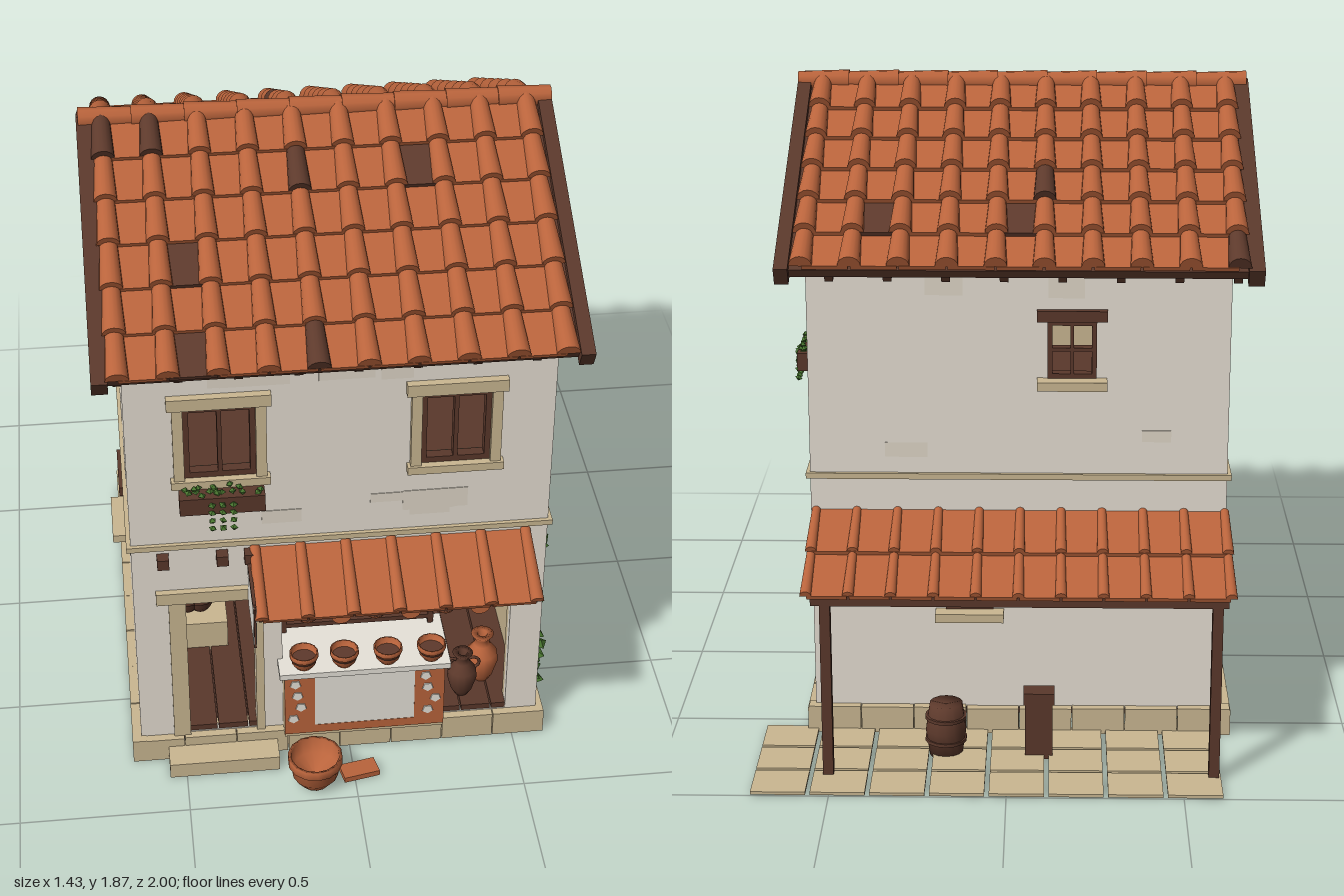
import * as THREE from 'three';

const flat = (name, color, side = THREE.FrontSide) => {
  const m = new THREE.MeshStandardMaterial({ color, side });
  m.name = name;
  return m;
};

export function createModel() {
  const house = new THREE.Group();
  house.name = 'potteryHouse';
  const plaster = flat('plaster', 0xe6dfd3), patch = flat('agedPlaster', 0xe0d7c8);
  const stone = flat('stone', 0xcbb892), wood = flat('darkWood', 0x5a382b);
  const clay = flat('terracotta', 0xba643c, THREE.DoubleSide);
  const burnt = flat('burntClay', 0x5e3a2c, THREE.DoubleSide);
  const soil = flat('underside', 0x4c3128), leaf = flat('leaf', 0x48752f);
  const white = flat('whitewash', 0xe8e4da);

  let seed = 7;
  const rnd = (a = 0, b = 1) => {
    seed = (seed * 16807) % 2147483647;
    return a + (b - a) * seed / 2147483647;
  };
  const add = (parent, name, geo, mat, x = 0, y = 0, z = 0) => {
    const m = new THREE.Mesh(geo, mat);
    m.name = name;
    m.position.set(x, y, z);
    parent.add(m);
    return m;
  };
  // Box given by its limits on each axis
  const box = (p, name, mat, x0, x1, y0, y1, z0, z1) => add(p, name,
    new THREE.BoxGeometry(x1 - x0, y1 - y0, z1 - z0), mat, (x0 + x1) / 2, (y0 + y1) / 2, (z0 + z1) / 2);
  const group = (name, x = 0, y = 0, z = 0, ry = 0) => {
    const g = new THREE.Group();
    g.name = name;
    g.position.set(x, y, z);
    g.rotation.y = ry;
    house.add(g);
    return g;
  };

  // Body limits
  const L = -0.63, R = 0.575, F = 0.755, B = -0.56;

  // Walls: outer plaster skin and a slightly smaller stone-coloured lining share the openings
  const wall = (name, outline, holes, x, z, ry, inward) => {
    const g = group(name, x, 0, z, ry);
    const mid = (outline[0][0] + outline[1][0]) / 2;
    for (const [part, mat, off, inset] of [['wallSkin', plaster, 0, 0], ['wallLining', stone, 0.025 * inward, 0.03]]) {
      const s = new THREE.Shape(outline.map(([a, b]) => new THREE.Vector2(a + Math.sign(mid - a) * inset, b - inset / 3)));
      holes.forEach(([a, b, c, d]) => s.holes.push(new THREE.Path([[a, c], [a, d], [b, d], [b, c]].map(p => new THREE.Vector2(...p)))));
      add(g, part, new THREE.ExtrudeGeometry(s, { depth: 0.025, bevelEnabled: false }), mat, 0, 0, off - (inward < 0 ? 0.025 : 0));
    }
  };
  const rect = [[L, 0.075], [R, 0.075], [R, 1.46], [L, 1.46]];
  const gable = [[-F, 0.075], [-B, 0.075], [-B, 1.465], [-0.1, 1.8], [-F, 1.465]];
  wall('frontWall', rect, [[-0.48, -0.28, 0.085, 0.6], [-0.2, 0.48, 0.085, 0.62],
    [-0.47, -0.265, 1.045, 1.285], [0.195, 0.395, 1.045, 1.285]], 0, F, 0, -1);
  wall('backWall', rect, [[0.045, 0.185, 0.39, 0.56], [-0.25, -0.11, 1.1, 1.27]], 0, B, 0, 1);
  wall('rightHandWall', gable, [[-0.335, -0.145, 0.365, 0.585], [-0.035, 0.13, 1.075, 1.285]], R, 0, Math.PI / 2, -1);
  wall('leftHandWall', gable, [[-0.18, -0.04, 0.42, 0.575], [-0.3, -0.16, 1.1, 1.27]], L, 0, Math.PI / 2, 1);

  // Floors and recessed underside
  box(house, 'underside', soil, L, R, 0.055, 0.074, B, F);
  for (let i = 0; i < 12; i++) box(house, 'floorPlank', wood, L + 0.05 + i * 0.0925, L + 0.138 + i * 0.0925, 0.075, 0.104, B + 0.05, F - 0.002);
  box(house, 'upperFloor', wood, L + 0.05, R - 0.05, 0.78, 0.82, B + 0.05, F - 0.05);

  // Foundation blocks
  for (let i = 0; i < 8; i++) {
    const x = -0.655 + i * 0.1565, z = -0.585 + i * 0.171;
    for (const [a, b] of [[F - 0.015, F + 0.025], [B - 0.025, B + 0.015]])
      box(house, 'baseStone', stone, x, x + 0.154, 0, 0.08 + rnd(-0.002, 0.003), a, b);
    for (const [a, b] of [[L - 0.027, L + 0.015], [R - 0.015, R + 0.022]])
      box(house, 'baseStone', stone, a, b, 0, 0.08 + rnd(-0.002, 0.003), z, z + 0.168);
  }
  // String courses
  box(house, 'stringCourse', stone, L - 0.012, R + 0.012, 0.795, 0.812, F, F + 0.012);
  box(house, 'stringCourse', stone, L - 0.012, R + 0.012, 0.795, 0.812, B - 0.012, B);
  for (const [a, b] of [[L - 0.012, L], [R, R + 0.012]]) {
    box(house, 'stringCourse', stone, a, b, 0.795, 0.812, B, F);
    box(house, 'gableCourse', stone, a, b, 1.46, 1.482, B, F);
  }
  // Aged plaster patches
  const bands = [[0.66, 0.79], [0.83, 0.95], [0.86, 0.98], [1.335, 1.41]];
  for (let i = 0; i < 26; i++) {
    const [a, b] = bands[i % 4], w = rnd(0.08, 0.2), h = rnd(0.03, 0.07), y = rnd(a, b - h), x = rnd(L + 0.02, R - w), z = rnd(B + 0.02, F - w);
    if (i % 2) box(house, 'plasterPatch', patch, x, x + w, y, y + h, i % 3 ? F - 0.001 : B - 0.002, i % 3 ? F + 0.002 : B + 0.001);
    else box(house, 'plasterPatch', patch, i % 3 ? R - 0.001 : L - 0.002, i % 3 ? R + 0.002 : L + 0.001, y, y + h, z, z + w);
  }

  // Tiled slope running down local +z
  const tiledSlope = (name, y, z, ry, pitch, x0, x1, cols, rows, len, r, dark = []) => {
    const g = group(name, 0, y, z, ry);
    g.rotation.order = 'YXZ';
    g.rotation.x = pitch;
    const step = (x1 - x0) / cols, rl = len / rows;
    const pan = new THREE.BoxGeometry(step - 0.006, 0.012, rl * 1.08);
    // Half round, wider at the lower end, arched upward
    const cover = new THREE.CylinderGeometry(r * 1.1, r * 0.85, rl * 1.06, 8, 1, false, Math.PI / 2, Math.PI).rotateX(Math.PI / 2);
    const tilt = -0.012 / rl;
    for (let i = 0; i <= cols; i++) for (let j = 0; j < rows; j++) {
      const zz = (j + 0.5) * rl, k = i * 10 + j;
      if (i < cols) add(g, 'panTile', pan, dark.includes(k + 1000) ? burnt : clay, x0 + (i + 0.5) * step, 0.012, zz).rotation.x = tilt;
      add(g, 'coverTile', cover, dark.includes(k) ? burnt : clay, x0 + i * step, 0.016, zz).rotation.x = tilt;
    }
    return g;
  };
  const pitch = 0.47, RY = 1.83;
  const slopes = [
    tiledSlope('frontRoof', RY, 0.1, 0, pitch, -0.64, 0.575, 9, 6, 0.85, 0.03, [0, 10, 41, 45, 1013, 1061, 1015]),
    tiledSlope('backRoof', RY, 0.1, Math.PI, pitch, -0.575, 0.64, 9, 6, 0.865, 0.03, [95, 53, 1044, 1014])];
  slopes.forEach((g, i) => {
    const s = i ? -1 : 1, len = i ? 0.88 : 0.86;
    box(g, 'roofDeck', wood, i ? -0.61 : -0.665, i ? 0.665 : 0.61, -0.025, 0, 0, len - 0.02);
    for (const [a, b] of [[-0.71, -0.665], [0.61, 0.65]]) {
      const lo = Math.min(a * s, b * s), hi = Math.max(a * s, b * s);
      box(g, 'bargeBoard', wood, lo, hi, -0.035, 0.02, 0, len);
    }
    for (let k = 0; k < 8; k++) box(g, 'rafterTail', wood, s * (-0.64 + k * 0.163) - 0.012, s * (-0.64 + k * 0.163) + 0.012, -0.05, -0.02, 0.6, len - 0.03);
  });
  for (let k = 0; k < 9; k++) add(house, 'ridgeTile',
    new THREE.CylinderGeometry(0.034, 0.029, 0.155, 10).rotateZ(Math.PI / 2), clay, -0.627 + k * 0.15, 1.838, 0.1);

  // Windows, each built facing +z around its opening
  const bar = (g, x, y, w, h) => box(g, 'windowBar', wood, x - w / 2, x + w / 2, y - h / 2, y + h / 2, -0.025, 0.006);
  const casement = (g, w, h, t) => {
    for (const s of [-1, 1]) {
      bar(g, s * (w - t) / 2, 0, t, h);
      bar(g, 0, s * (h - t) / 2, w, t);
    }
    bar(g, 0, 0, t * 0.7, h);
  };
  const bigWindow = (name, x, y, z, ry, w, h) => {
    const g = group(name, x, y, z, ry);
    casement(g, w, h, 0.018);
    for (const s of [-1, 1]) box(g, 'jamb', stone, s * (w / 2 + 0.013) - 0.015, s * (w / 2 + 0.013) + 0.015, -h / 2, h / 2, -0.01, 0.02);
    box(g, 'lintel', stone, -w / 2 - 0.042, w / 2 + 0.042, h / 2, h / 2 + 0.038, -0.01, 0.024);
    box(g, 'sill', stone, -w / 2 - 0.037, w / 2 + 0.037, -h / 2 - 0.025, -h / 2, -0.01, 0.028);
    return g;
  };
  const smallWindow = (name, x, y, z, ry, h) => {
    const g = group(name, x, y, z, ry), w = 0.14;
    casement(g, w, h, 0.014);
    bar(g, 0, 0, w, 0.01);
    box(g, 'lintel', wood, -w / 2 - 0.03, w / 2 + 0.03, h / 2, h / 2 + 0.032, -0.01, 0.022);
    box(g, 'sill', stone, -w / 2 - 0.03, w / 2 + 0.03, -h / 2 - 0.026, -h / 2, -0.01, 0.05);
  };
  const leafGeo = new THREE.OctahedronGeometry(0.016);
  const addLeaf = (p, x, y, z, s) => {
    const m = add(p, 'leaf', leafGeo, leaf, x, y, z);
    m.scale.set(s, s * 0.8, s);
    m.rotation.set(rnd(-0.4, 0.4), rnd(0, 3), rnd(-0.4, 0.4));
  };
  const flowerBox = (g, h, w) => {
    const t = -h / 2 - 0.025;
    box(g, 'flowerBox', wood, -w / 2, w / 2, t - 0.055, t, 0.025, 0.075);
    for (let i = 0; i < 18; i++) addLeaf(g, rnd(-w / 2, w / 2) * 0.92, t + rnd(0, 0.02), rnd(0.03, 0.07), 0.75);
    for (let i = 0; i < 12; i++) addLeaf(g, -0.03 + (i % 3) * 0.03, t - 0.02 - Math.floor(i / 3) * 0.027, 0.08, 0.75);
  };
  flowerBox(bigWindow('upperFrontWindowA', -0.3675, 1.165, F, 0, 0.205, 0.24), 0.24, 0.24);
  bigWindow('upperFrontWindowB', 0.295, 1.165, F, 0, 0.2, 0.24);
  flowerBox(bigWindow('upperSideWindow', R, 1.18, -0.0475, Math.PI / 2, 0.165, 0.21), 0.21, 0.22);
  bigWindow('lowerSideWindow', R, 0.475, 0.24, Math.PI / 2, 0.19, 0.22);
  smallWindow('lowerBackWindow', 0.115, 0.475, B, Math.PI, 0.17);
  smallWindow('upperBackWindow', -0.18, 1.185, B, Math.PI, 0.17);
  smallWindow('upperFarWindow', L, 1.185, 0.23, -Math.PI / 2, 0.17);
  smallWindow('lowerFarWindow', L, 0.4975, 0.11, -Math.PI / 2, 0.155);

  // Exposed bricks on the far side
  [[-0.19, 0.27], [-0.13, 0.27], [-0.17, 0.295], [-0.11, 0.295], [-0.14, 0.32]].forEach(([z, y]) =>
    box(house, 'exposedBrick', clay, L - 0.006, L, y, y + 0.02, z - 0.027, z + 0.027));

  // Climbing vine, thinning out toward the top
  const vine = group('vine');
  for (let i = 0; i < 165; i++) {
    const t = Math.pow(rnd(), 1.25), y = 0.09 + t * 0.85, z = 0.455 + (1 - t * t * t * 0.65) * rnd(-0.2, 0.2);
    if (z < 0.31 && y > 0.36 && y < 0.56) continue;
    addLeaf(vine, R + rnd(0.004, 0.03), y, z, rnd(1.0, 1.6));
  }

  // Doorway
  box(house, 'doorJamb', stone, -0.53, -0.48, 0.08, 0.6, F - 0.01, F + 0.012);
  box(house, 'doorJamb', stone, -0.28, -0.255, 0.08, 0.6, F - 0.01, F + 0.012);
  box(house, 'doorLintel', stone, -0.565, -0.255, 0.6, 0.64, F - 0.01, F + 0.02);
  box(house, 'doorStep', stone, -0.55, -0.22, 0, 0.05, F, 0.86);
  box(house, 'hearth', stone, -0.49, -0.34, 0.09, 0.2, 0.2, 0.4);
  for (const x of [-0.54, -0.37, -0.29]) box(house, 'beamEnd', wood, x - 0.017, x + 0.017, 0.743, 0.777, F, F + 0.035);

  // Shop counter
  const counter = group('counter');
  box(counter, 'counterBody', stone, -0.2, 0.28, 0.085, 0.33, 0.62, 0.81);
  box(counter, 'counterPanel', white, -0.11, 0.19, 0.13, 0.33, 0.81, 0.816);
  box(counter, 'counterPost', clay, -0.2, -0.11, 0.1, 0.33, 0.81, 0.817);
  box(counter, 'counterPost', clay, 0.19, 0.28, 0.1, 0.33, 0.81, 0.817);
  box(counter, 'counterFoot', clay, -0.11, 0.19, 0.1, 0.13, 0.81, 0.817);
  box(counter, 'counterTop', white, -0.215, 0.295, 0.328, 0.347, 0.6, 0.83);
  for (const x of [-0.165, 0.235]) for (let i = 0; i < 4; i++)
    add(counter, 'paintChip', new THREE.CylinderGeometry(0.016, 0.018, 0.003, 5).rotateX(Math.PI / 2), white, x + rnd(-0.02, 0.02), 0.16 + i * 0.045, 0.818);

  // Shelf behind the counter
  for (const x of [-0.185, 0.26]) box(house, 'shelfPost', wood, x - 0.008, x + 0.008, 0.34, 0.62, 0.62, 0.64);
  box(house, 'shelf', wood, -0.19, 0.27, 0.5, 0.515, 0.58, 0.68);
  box(house, 'shelf', wood, -0.19, 0.27, 0.365, 0.38, 0.58, 0.64);

  // Pottery
  const pot = (name, pts, mat, x, y, z, s) => add(house, name,
    new THREE.LatheGeometry(pts.map(([a, b]) => new THREE.Vector2(a * s, b * s)), 14), mat, x, y, z);
  const bowl = [[0, 0], [0.55, 0], [0.88, 0.45], [0.95, 0.95], [1.05, 1], [1.05, 1.35], [0.92, 1.35], [0.85, 0.7], [0, 0.25]];
  const jar = [[0, 0], [0.4, 0], [0.75, 0.6], [1, 1.5], [0.95, 2.2], [0.5, 2.8], [0.42, 3.2], [0.7, 3.6], [0.3, 3.6], [0.3, 2.6]];
  const hung = [[0, 0], [0.7, 0.1], [1, 0.5], [0.95, 0.85], [0.6, 1.2], [0, 1.4]];
  pot('largeBowl', bowl, clay, -0.12, 0, 0.92, 0.078);
  [-0.14, -0.02, 0.11, 0.24].forEach(x => {
    pot('counterBowl', bowl, clay, x, 0.347, 0.795, 0.041);
    add(house, 'bowlBand', new THREE.CylinderGeometry(0.0405, 0.038, 0.006, 14), burnt, x, 0.379, 0.795);
  });
  [-0.13, 0, 0.1, 0.2].forEach(x => pot('shelfBowl', bowl, clay, x, 0.515, 0.63, 0.022));
  [-0.13, 0.07, 0.275].forEach(x => {
    pot('hangingPot', hung, clay, x, 0.535, 0.8, 0.037);
    add(house, 'potBand', new THREE.CylinderGeometry(0.0375, 0.038, 0.006, 14), burnt, x, 0.558, 0.8);
    box(house, 'cord', wood, x - 0.003, x + 0.003, 0.58, 0.64, 0.797, 0.803);
  });
  [-0.03, 0.175, 0.38].forEach(x => {
    add(house, 'hangingPlate', new THREE.CylinderGeometry(0.03, 0.03, 0.01, 14).rotateX(Math.PI / 2), clay, x, 0.54, 0.8);
    box(house, 'cord', wood, x - 0.003, x + 0.003, 0.57, 0.64, 0.797, 0.803);
  });
  pot('darkJar', jar, burnt, 0.355, 0.1, 0.69, 0.045);
  pot('clayJar', jar, clay, 0.425, 0.1, 0.63, 0.05);
  pot('windowJar', jar, stone, 0.54, 0.44, 0.2, 0.015);
  for (const s of [-1, 1]) add(house, 'jarHandle', new THREE.TorusGeometry(0.02, 0.005, 6, 12), burnt, 0.355 + s * 0.032, 0.22, 0.69);
  [-0.46, -0.42].forEach(x => pot('hearthPot', bowl, burnt, x, 0.2, 0.32, 0.042));
  box(house, 'brokenTile', clay, -0.04, 0.07, 0.002, 0.02, 0.87, 0.93).rotation.y = 0.2;

  // Front awning with its beam, brackets and hanging sign
  tiledSlope('frontAwning', 0.765, F, 0, 0.44, -0.275, 0.51, 6, 1, 0.225, 0.018);
  box(house, 'awningBeam', wood, -0.28, 0.52, 0.645, 0.675, 0.9, 0.93);
  box(house, 'shopLintel', wood, -0.24, 0.5, 0.615, 0.65, F - 0.01, F + 0.03);
  for (const x of [-0.265, 0.485])
    add(house, 'awningBracket', new THREE.BoxGeometry(0.02, 0.024, 0.2), wood, x, 0.64, 0.845).rotation.x = -0.35;
  box(house, 'signArm', wood, -0.3, -0.29, 0.735, 0.745, F, 0.97);
  box(house, 'signFrame', wood, -0.297, -0.291, 0.585, 0.725, 0.77, 0.97);
  box(house, 'signBoard', white, -0.299, -0.289, 0.592, 0.718, 0.777, 0.963);

  // Back porch: tiled awning, posts, paving and storage
  tiledSlope('porchRoof', 0.685, B, Math.PI, 0.38, -0.56, 0.625, 10, 2, 0.365, 0.015);
  box(house, 'porchBeam', wood, -0.62, 0.55, 0.53, 0.56, -0.89, -0.86);
  for (const x of [-0.59, 0.51]) box(house, 'porchPost', wood, x - 0.015, x + 0.015, 0, 0.54, -0.89, -0.86);
  for (let i = 0; i < 8; i++) for (let j = 0; j < 3; j++) {
    const x = -0.61 + i * 0.168, z = -1 + j * 0.148;
    box(house, 'pavingSlab', stone, x, x + 0.155, 0.003, 0.012, z, z + 0.136);
  }
  pot('barrel', [[0, 0], [0.8, 0], [1, 1.35], [0.8, 2.7], [0, 2.6]], burnt, 0.18, 0, -0.72, 0.06);
  for (const y of [0.05, 0.12]) add(house, 'barrelHoop', new THREE.CylinderGeometry(0.061, 0.061, 0.01, 14), wood, 0.18, y, -0.72);
  box(house, 'bin', wood, -0.13, -0.05, 0, 0.17, -0.755, -0.69);
  box(house, 'binLid', wood, -0.135, -0.045, 0.17, 0.205, -0.755, -0.695);
  return house;
}
